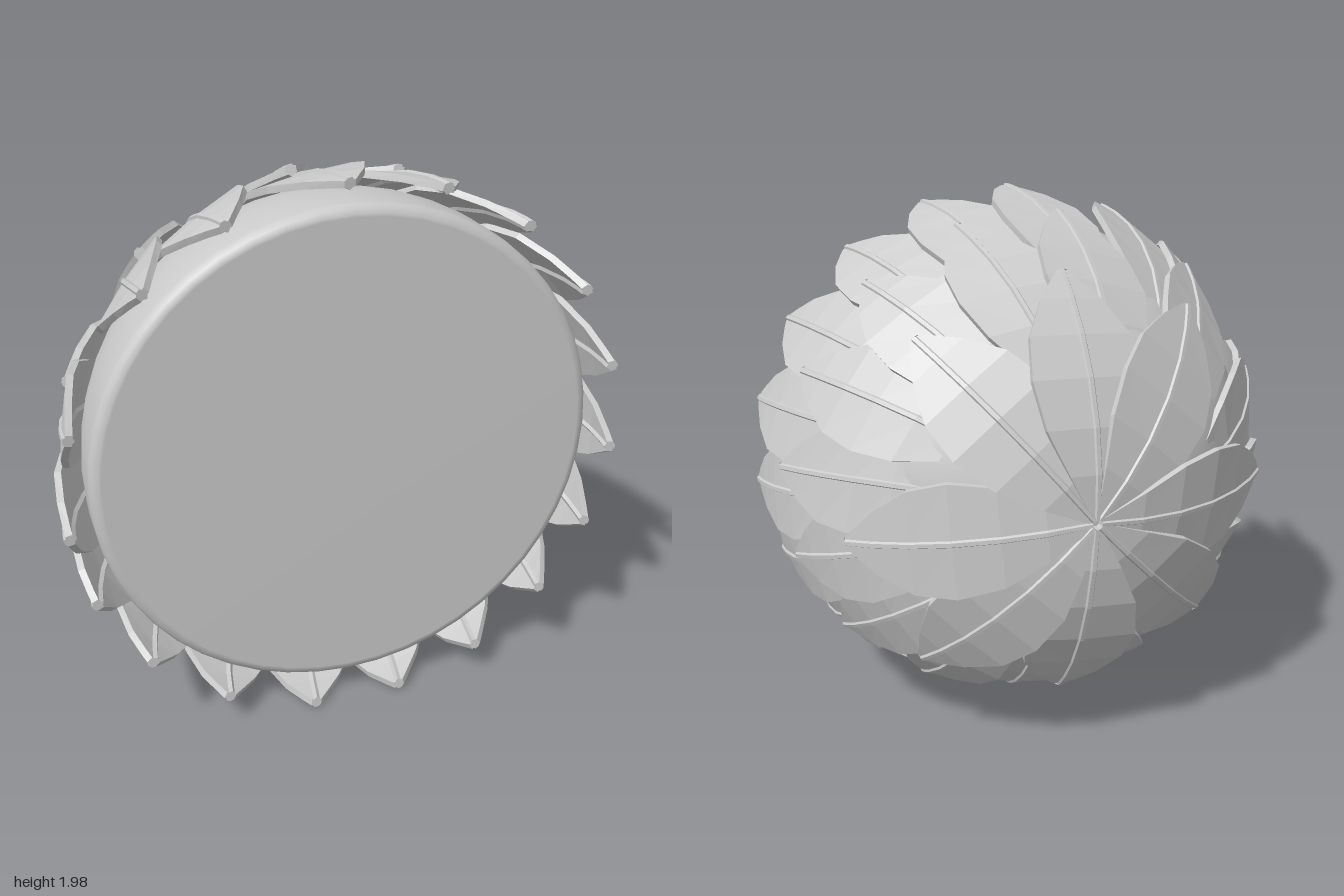
import * as THREE from 'three';

const DEG = Math.PI / 180;
const material = new THREE.MeshStandardMaterial({ color: 0xcccccc });
const leafMaterial = new THREE.MeshStandardMaterial({ color: 0xcccccc, flatShading: true });

// Outline of a leaf: [position along the length, fraction of half width]
const OUTLINE = [[0, 0.08], [0.18, 0.5], [0.36, 0.86], [0.55, 1], [0.72, 0.9], [0.87, 0.55], [0.96, 0.24], [1, 0.1]];

// Rows from the pole to the rim; phi is measured from the pole, angles (of the tips) and twist around the axis
const ROWS = [
  {
    name: 'poleLeaf', phi: [1, 53], radius: [0.955, 0.995], half: 0.205, twist: 3,
    angles: [0, 41, 97, 138, 180, 225, 268, 323],
  },
  {
    name: 'middleLeaf', phi: [26, 75], radius: [0.9, 0.98], half: 0.195, twist: 9,
    angles: [-7, 16.5, 40, 63, 85, 106.5, 128, 152, 174, 196.5, 219, 241.5, 264, 287, 318],
  },
  {
    name: 'rimLeaf', phi: [48, 96.3], radius: [0.895, 0.992], half: 0.185, twist: 8,
    angles: [-2, 17.5, 37, 57, 76, 95, 113, 131, 150, 169, 188, 208, 228, 247, 263, 284, 315, 334],
  },
];

// One curved, ribbed leaf, lofted from cross-sections along its midrib
function leafGeometry(row, tipAngle) {
  const thick = 0.024, rib = 0.012, roll = 0.09, droop = 0.05;
  const positions = [], indices = [];
  for (const [t, f] of OUTLINE) {
    const phi = THREE.MathUtils.lerp(row.phi[0], row.phi[1], t) * DEG;
    const theta = (tipAngle - row.twist * (1 - t)) * DEG;
    const radius = THREE.MathUtils.lerp(row.radius[0], row.radius[1], t);
    const normal = new THREE.Vector3(Math.sin(phi) * Math.sin(theta), Math.sin(phi) * Math.cos(theta), -Math.cos(phi));
    const side = new THREE.Vector3(Math.cos(theta), -Math.sin(theta), 0);
    const w = row.half * f, r = Math.min(rib, w * 0.6);
    // Upper side with a raised midrib, then the underside
    const section = [[-w, 0], [-r, 0], [-r * 0.6, 0.008], [r * 0.6, 0.008], [r, 0], [w, 0],
      [w, -thick], [r, -thick], [0, -thick - 0.01], [-r, -thick], [-w, -thick]];
    for (const [u, h] of section) {
      const p = normal.clone().multiplyScalar(radius + h + roll * u - droop * Math.abs(u)).addScaledVector(side, u);
      positions.push(p.x, p.y, p.z);
    }
  }
  const n = 11, last = (OUTLINE.length - 1) * n;
  for (let i = 0; i < last; i += n) {
    for (let j = 0; j < n; j++) {
      const k = (j + 1) % n;
      indices.push(i + j, i + n + j, i + n + k, i + j, i + n + k, i + k);
    }
  }
  for (let j = 1; j < n - 1; j++) {
    indices.push(0, j, j + 1, last, last + j + 1, last + j);
  }
  const geometry = new THREE.BufferGeometry();
  geometry.setAttribute('position', new THREE.Float32BufferAttribute(positions, 3));
  geometry.setIndex(indices);
  const flat = geometry.toNonIndexed();
  flat.computeVertexNormals();
  return flat;
}

// Smooth dome with a flat front and a small rounded rim
function domeMesh() {
  const profile = [[0, -0.485], [0.85, -0.485], [0.86, -0.484], [0.877, -0.476], [0.887, -0.462], [0.89, -0.445]]
    .map(([x, y]) => new THREE.Vector2(x, y));
  for (let i = 0; i <= 16; i++) {
    const a = (i / 16) * Math.PI / 2;
    profile.push(new THREE.Vector2(i === 16 ? 0 : 0.89 * Math.cos(a), -0.38 + 0.89 * Math.sin(a)));
  }
  const geometry = new THREE.LatheGeometry(profile, 48);
  geometry.rotateX(-Math.PI / 2);
  const mesh = new THREE.Mesh(geometry, material);
  mesh.name = 'dome';
  mesh.position.y = 1;
  return mesh;
}

export function createModel() {
  const model = new THREE.Group();
  model.name = 'leafyDome';
  model.add(domeMesh());

  // Overlapping rings of leaves
  for (const row of ROWS) {
    const ring = new THREE.Group();
    ring.name = row.name + 'Ring';
    ring.position.set(0, 1, 0.42);
    for (const angle of row.angles) {
      const leaf = new THREE.Mesh(leafGeometry(row, angle), leafMaterial);
      leaf.name = row.name;
      ring.add(leaf);
    }
    model.add(ring);
  }
  return model;
}
